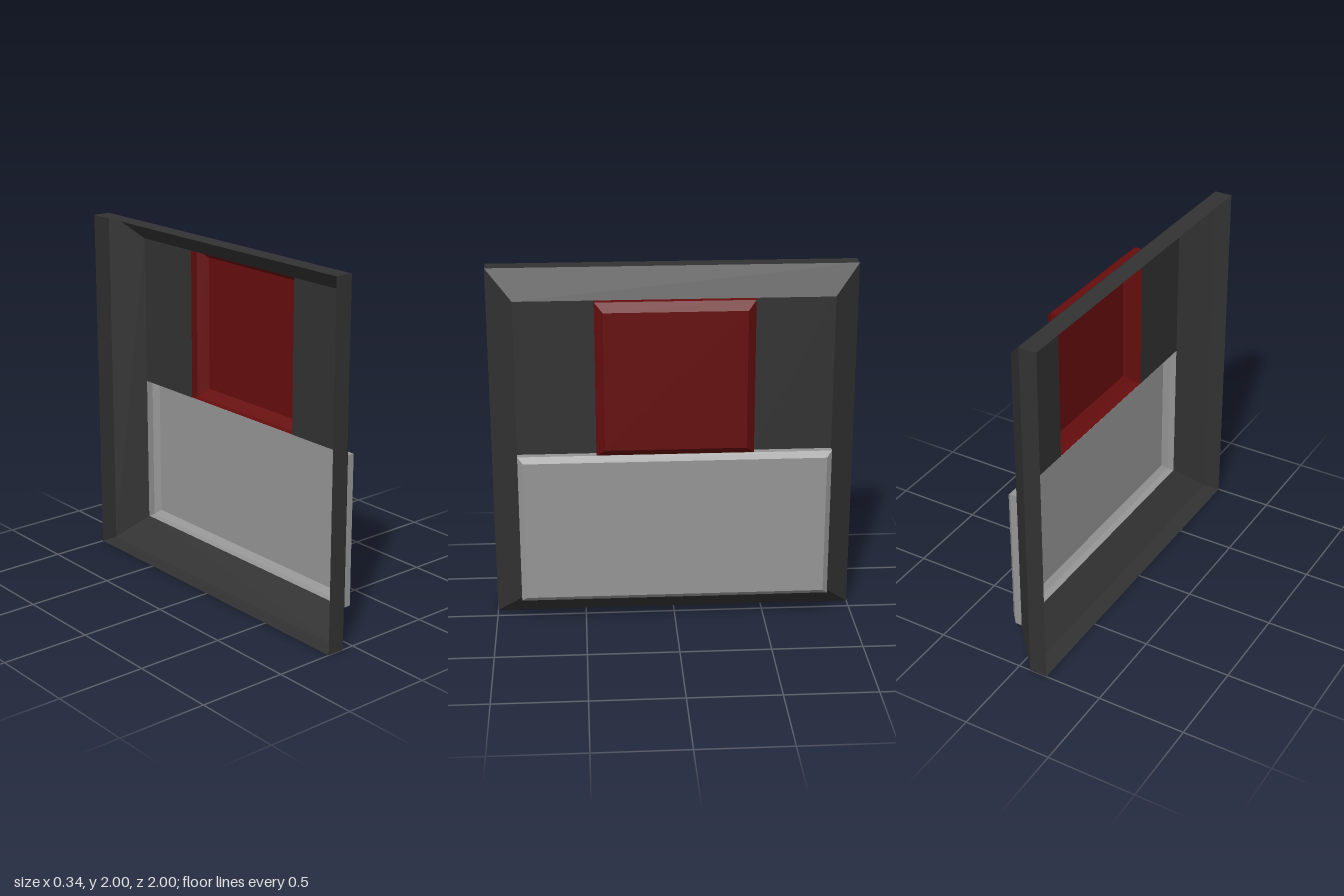
import * as THREE from 'three';

const material = (name, color) => {
  const m = new THREE.MeshStandardMaterial({ color, side: THREE.DoubleSide });
  m.name = name;
  return m;
};

// Flat-faced quads, corners counter-clockwise when seen from outside
function quadMesh(name, quads, mat) {
  const points = quads.flatMap(([a, b, c, d]) => [a, b, c, a, c, d]).flat();
  const geometry = new THREE.BufferGeometry();
  geometry.setAttribute('position', new THREE.Float32BufferAttribute(points, 3));
  geometry.computeVertexNormals();
  const mesh = new THREE.Mesh(geometry, mat);
  mesh.name = name;
  return mesh;
}

// Rectangle in the plane at x, counter-clockwise from +x
const rect = (x, z0, z1, y0, y1) => [[x, y0, z1], [x, y0, z0], [x, y1, z0], [x, y1, z1]];

// Side walls joining successive rectangles
function walls(rings) {
  const quads = [];
  for (let i = 0; i < rings.length - 1; i++) {
    for (let j = 0; j < 4; j++) {
      const k = (j + 1) % 4;
      quads.push([rings[i][j], rings[i][k], rings[i + 1][k], rings[i + 1][j]]);
    }
  }
  return quads;
}

// Open-backed raised panel with a bevelled rim
function raisedPanel(name, halfWidth, y0, y1, depth, bevel, mat) {
  const w = halfWidth - bevel;
  const rings = [
    rect(0.075, -halfWidth, halfWidth, y0, y1),
    rect(0.115, -halfWidth, halfWidth, y0, y1),
    rect(depth, -w, w, y0 + bevel, y1 - bevel),
  ];
  return quadMesh(name, [...walls(rings), rings[2]], mat);
}

export function createModel() {
  const group = new THREE.Group();
  const dark = material('charcoal', 0x323232);
  const grey = material('light grey', 0x969696);
  const red = material('dark red', 0x660d0d);

  // Hollow frame: straight rim, then a sloped border
  const frame = walls([
    rect(-0.17, -1, 1, 0, 2),
    rect(-0.07, -1, 1, 0, 2),
    rect(0.075, -0.855, 0.855, 0.145, 1.855),
  ]);
  group.add(quadMesh('frame', frame, dark));

  // Flat plates either side of the upper panel
  group.add(quadMesh('sidePlates', [
    rect(0.075, 0.427, 0.855, 1, 1.855),
    rect(0.075, -0.855, -0.427, 1, 1.855),
  ], dark));

  group.add(raisedPanel('upperPanel', 0.427, 1.001, 1.855, 0.165, 0.045, red));
  group.add(raisedPanel('lowerPanel', 0.855, 0.145, 1, 0.145, 0.03, grey));
  return group;
}
